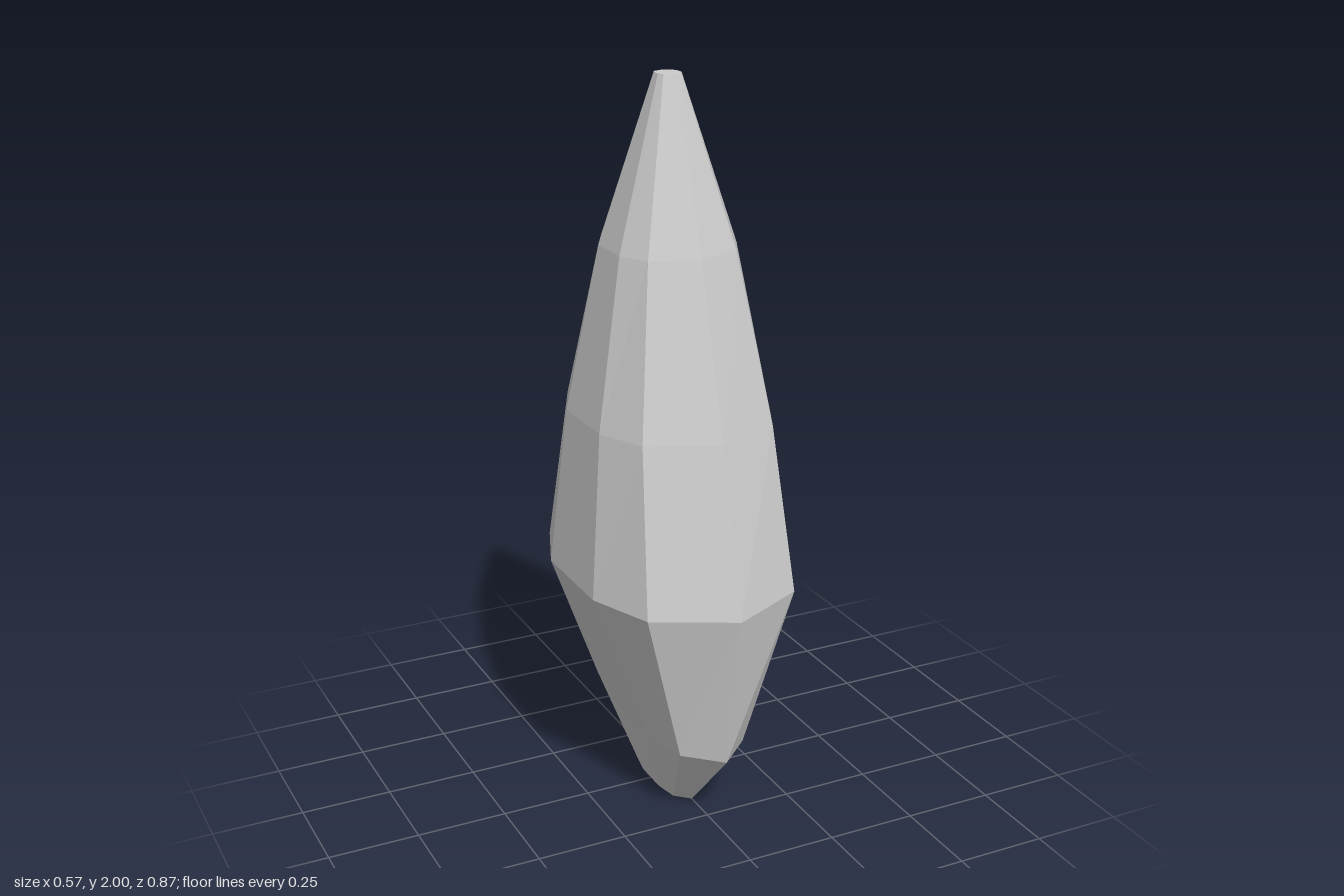
import * as THREE from 'three';

// Each ring: height, front point z, shoulder x/z, side x/z (mirrored into ten sides)
const RINGS = [
  [0.00, 0.155, 0.04, 0.118, 0.053, 0.052],
  [0.22, 0.360, 0.095, 0.272, 0.124, 0.12],
  [0.665, 0.433, 0.215, 0.325, 0.287, 0.143],
  [1.11, 0.320, 0.187, 0.240, 0.247, 0.107],
  [1.56, 0.195, 0.125, 0.145, 0.167, 0.065],
  [2.00, 0.037, 0.025, 0.028, 0.033, 0.012],
];

function ringPoints([y, z0, x1, z1, x2, z2]) {
  const half = [[0, z0], [x1, z1], [x2, z2], [x2, -z2], [x1, -z1]];
  // the second half is the first turned by 180 degrees
  return [...half, ...half.map(([x, z]) => [-x, -z])]
    .map(([x, z]) => new THREE.Vector3(x, y, z));
}

function loft(rings) {
  const pos = [];
  const tri = (...points) => points.forEach((p) => pos.push(p.x, p.y, p.z));
  const n = rings[0].length;
  const bottom = rings[0], top = rings[rings.length - 1];
  const bottomCentre = new THREE.Vector3(0, bottom[0].y, 0);
  const topCentre = new THREE.Vector3(0, top[0].y, 0);
  for (let i = 0; i < n; i++) {
    const j = (i + 1) % n;
    // facets between neighbouring rings
    for (let r = 0; r < rings.length - 1; r++) {
      const lo = rings[r], hi = rings[r + 1];
      tri(lo[i], lo[j], hi[j]);
      tri(lo[i], hi[j], hi[i]);
    }
    // end caps
    tri(bottomCentre, bottom[j], bottom[i]);
    tri(topCentre, top[i], top[j]);
  }
  const geometry = new THREE.BufferGeometry();
  geometry.setAttribute('position', new THREE.Float32BufferAttribute(pos, 3));
  geometry.computeVertexNormals();
  return geometry;
}

export function createModel() {
  const group = new THREE.Group();
  group.name = 'facetedSpike';
  const material = new THREE.MeshStandardMaterial({ color: 0xcccccc, flatShading: true });
  // Faceted body tapering to a blunt tip
  const body = new THREE.Mesh(loft(RINGS.map(ringPoints)), material);
  body.name = 'spikeBody';
  group.add(body);
  return group;
}
